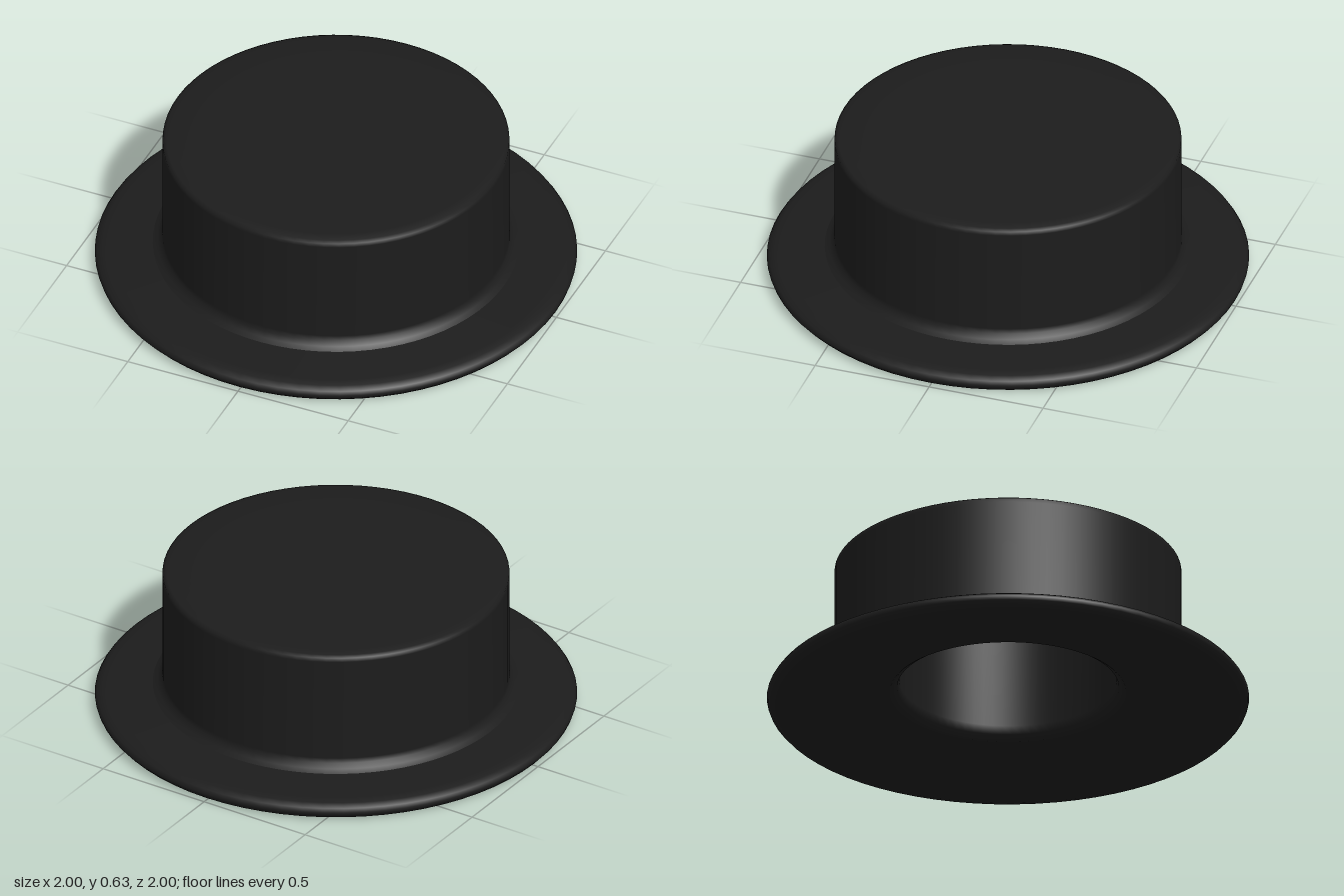
import * as THREE from 'three';

export function createModel() {
  const group = new THREE.Group();
  group.name = 'hat';

  const felt = new THREE.MeshStandardMaterial({ color: 0x1c1c1c });

  // Lathe of [radius, height] pairs
  const turned = (name, profile) => {
    const points = profile.map(([r, y]) => new THREE.Vector2(r, y));
    const mesh = new THREE.Mesh(new THREE.LatheGeometry(points, 72), felt);
    mesh.name = name;
    group.add(mesh);
  };

  // Hollow inside the crown: ceiling, wall and soft opening
  turned('headOpening', [
    [0, 0.61], [0.42, 0.61], [0.445, 0.6], [0.45, 0.57],
    [0.45, 0.12], [0.46, 0.085], [0.49, 0.065],
  ]);

  // Brim: gently hollow underside, rounded rim, sloping upper side
  turned('brim', [
    [0.49, 0.065], [0.56, 0.05], [0.72, 0.025], [0.88, 0.005],
    [0.95, 0], [0.98, 0.008], [0.995, 0.025], [1, 0.04],
    [0.99, 0.055], [0.965, 0.068], [0.93, 0.072], [0.76, 0.088],
  ]);

  // Crown: flared foot, straight wall and slightly domed top
  turned('crown', [
    [0.76, 0.088], [0.74, 0.1], [0.722, 0.118], [0.72, 0.14],
    [0.72, 0.6], [0.719, 0.618], [0.705, 0.626], [0.67, 0.631],
    [0.57, 0.635], [0, 0.635],
  ]);

  return group;
}
